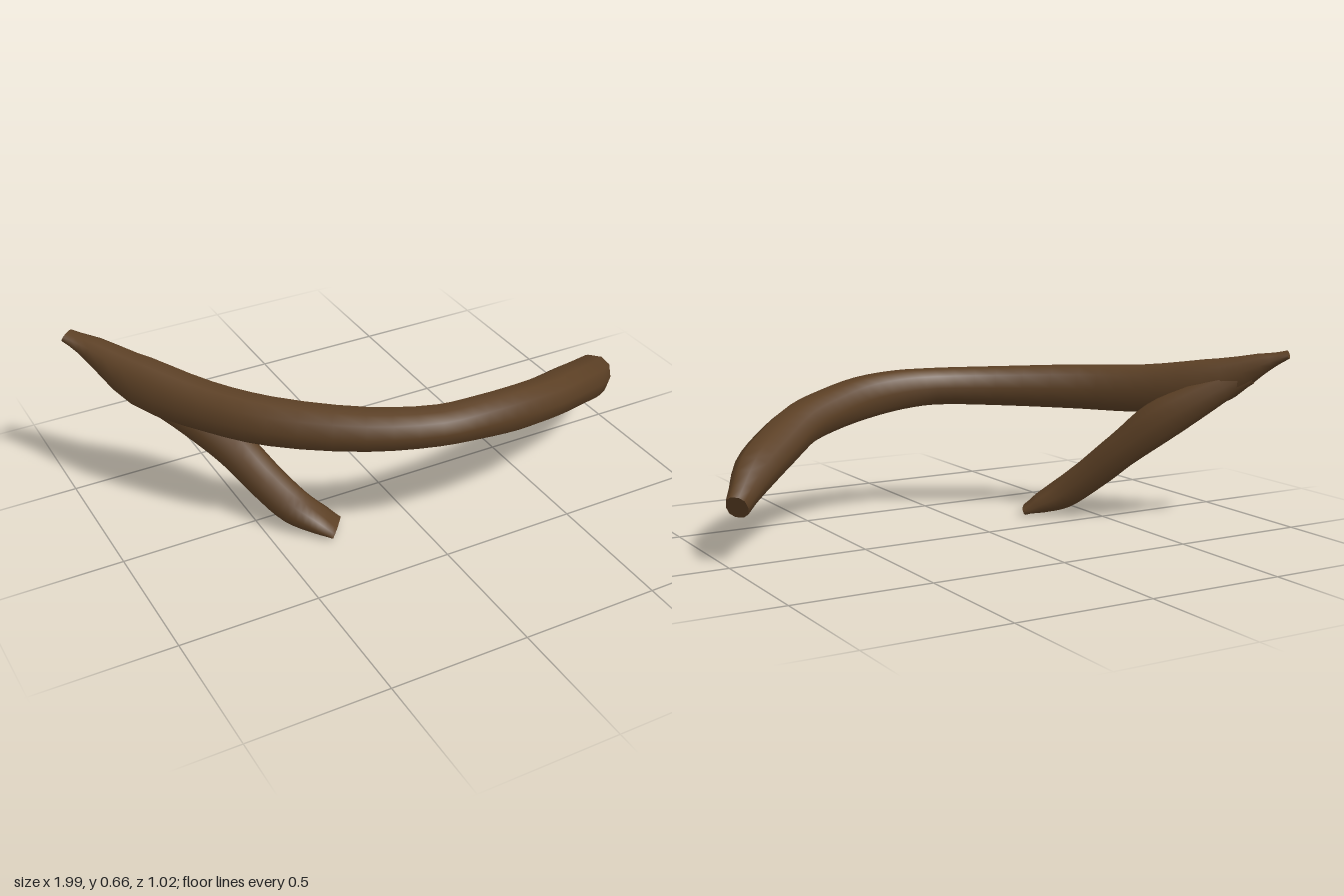
import * as THREE from 'three';

const SIDES = 10;

// Sweeps an oval section along rows of [x, y, z, width, height], with flat ends
function limb(name, rows, steps, material) {
  const path = new THREE.CatmullRomCurve3(rows.map(r => new THREE.Vector3(r[0], r[1], r[2])), false, 'centripetal');
  const size = new THREE.SplineCurve(rows.map(r => new THREE.Vector2(r[3], r[4])));
  const pos = [], index = [], up = new THREE.Vector3(0, 1, 0);

  const addRing = t => {
    const c = path.getPoint(t), dir = path.getTangent(t), s = size.getPoint(t);
    const side = new THREE.Vector3().crossVectors(up, dir).normalize();
    const rise = new THREE.Vector3().crossVectors(dir, side);
    const start = pos.length / 3;
    for (let j = 0; j < SIDES; j++) {
      const a = (j / SIDES) * Math.PI * 2;
      // slightly squared oval
      const k = (v, e) => Math.sign(v) * Math.pow(Math.abs(v), e);
      const p = c.clone()
        .addScaledVector(side, k(Math.cos(a), 0.85) * s.x / 2)
        .addScaledVector(rise, k(Math.sin(a), 0.85) * s.y / 2);
      pos.push(p.x, p.y, p.z);
    }
    return start;
  };

  // Bark surface
  for (let i = 0; i <= steps; i++) {
    const b = addRing(i / steps), a = b - SIDES;
    if (i === 0) continue;
    for (let j = 0; j < SIDES; j++) {
      const n = (j + 1) % SIDES;
      index.push(a + j, a + n, b + n, a + j, b + n, b + j);
    }
  }
  // Cut ends, with their own vertices for a crisp edge
  const s = addRing(0), e = addRing(1);
  for (let j = 1; j < SIDES - 1; j++) {
    index.push(s, s + j + 1, s + j, e, e + j, e + j + 1);
  }

  const geo = new THREE.BufferGeometry();
  geo.setAttribute('position', new THREE.Float32BufferAttribute(pos, 3));
  geo.setIndex(index);
  geo.computeVertexNormals();
  const mesh = new THREE.Mesh(geo, material);
  mesh.name = name;
  return mesh;
}

export function createModel() {
  const group = new THREE.Group();
  group.name = 'curvedBranch';
  const bark = new THREE.MeshStandardMaterial({ color: 0x5c4025 });
  bark.name = 'brown bark';

  // Long bowed limb, thin tip on the right, blunt drooping end on the left
  group.add(limb('mainLimb', [
    [-0.967, 0.648, -0.49, 0.07, 0.03],
    [-0.90, 0.61, -0.42, 0.10, 0.08],
    [-0.78, 0.525, -0.26, 0.15, 0.19],
    [-0.63, 0.495, -0.05, 0.15, 0.18],
    [-0.48, 0.49, 0.13, 0.15, 0.17],
    [-0.22, 0.488, 0.325, 0.145, 0.15],
    [0, 0.49, 0.42, 0.14, 0.14],
    [0.15, 0.485, 0.433, 0.135, 0.15],
    [0.31, 0.468, 0.418, 0.135, 0.16],
    [0.47, 0.44, 0.37, 0.15, 0.155],
    [0.6, 0.41, 0.31, 0.155, 0.155],
    [0.74, 0.35, 0.215, 0.16, 0.155],
    [0.86, 0.29, 0.115, 0.14, 0.145],
    [0.965, 0.207, 0.003, 0.08, 0.09],
  ], 39, bark));

  // Side limb, from the thin tip down to a flattened foot
  group.add(limb('sideLimb', [
    [-0.275, 0.02, 0.195, 0.13, 0.035],
    [-0.32, 0.047, 0.16, 0.13, 0.075],
    [-0.39, 0.092, 0.10, 0.13, 0.12],
    [-0.455, 0.168, 0.02, 0.13, 0.13],
    [-0.53, 0.275, -0.08, 0.135, 0.14],
    [-0.625, 0.385, -0.175, 0.15, 0.16],
    [-0.74, 0.475, -0.27, 0.14, 0.13],
    [-0.87, 0.573, -0.39, 0.08, 0.08],
  ], 28, bark));

  return group;
}
